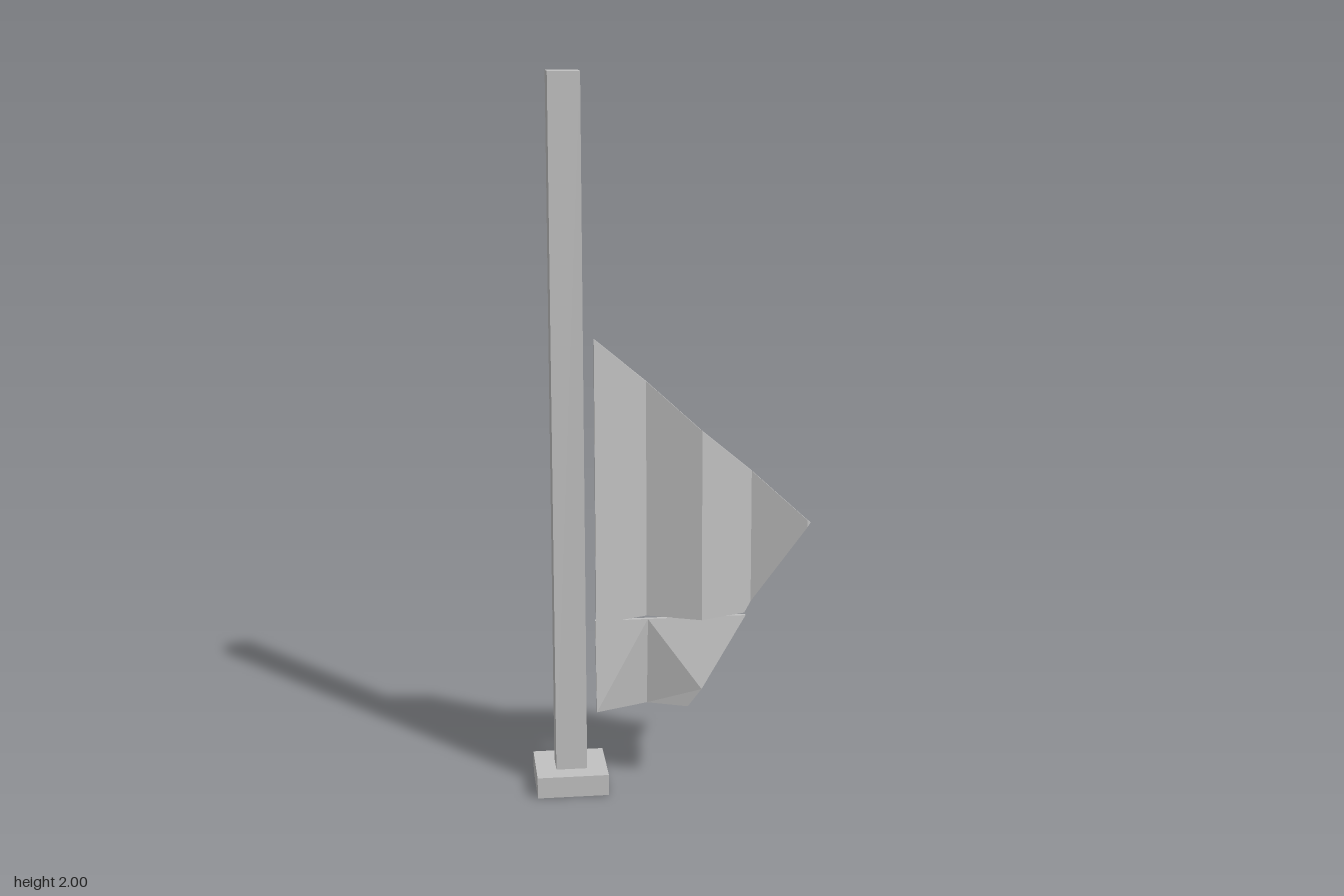
import * as THREE from 'three';

const HALF = 0.006; // half thickness of the sheets along z

// Thickens a folded sheet: points run counter-clockwise in faces seen from the front
function sheet(points, outline, faces) {
  const pos = [];
  const put = (i, s) => pos.push(points[i][0], points[i][1], points[i][2] + s * HALF);
  for (const f of faces) {
    for (let k = 1; k < f.length - 1; k++) {
      [f[0], f[k], f[k + 1]].forEach(i => put(i, 1));
      [f[0], f[k + 1], f[k]].forEach(i => put(i, -1));
    }
  }
  outline.forEach((a, k) => {
    const b = outline[(k + 1) % outline.length];
    put(a, 1); put(a, -1); put(b, -1);
    put(a, 1); put(b, -1); put(b, 1);
  });
  const g = new THREE.BufferGeometry();
  g.setAttribute('position', new THREE.Float32BufferAttribute(pos, 3));
  g.computeVertexNormals();
  return g;
}

export function createModel() {
  const model = new THREE.Group();
  const grey = new THREE.MeshStandardMaterial({ color: 0xc0c0c0 });
  grey.name = 'plain grey';

  const add = (name, geometry, x = 0, y = 0, z = 0) => {
    const m = new THREE.Mesh(geometry, grey);
    m.name = name;
    m.position.set(x, y, z);
    model.add(m);
  };

  // Post and foot
  add('base', new THREE.BoxGeometry(0.2, 0.06, 0.2), -0.284, 0.03, 0);
  add('pole', new THREE.BoxGeometry(0.087, 1.94, 0.087), -0.284, 1.03, 0);

  // Upper cloth: vertical zigzag folds, each column as x, bottom y, z
  const topAt = x => 1.298 - (x + 0.215) * 0.885;
  const columns = [
    [-0.215, 0.5, 0.081], [-0.068, 0.5, 0.02], [0.079, 0.5, 0.081],
    [0.207, 0.5, 0.028], [0.226, 0.53, 0.02], [0.373, 0.757, 0.081],
  ];
  const n = columns.length;
  const upper = [
    ...columns,
    ...columns.map(([x, , z]) => [x, topAt(x), z]),
    [0.382, 0.77, 0.078], // tip
  ];
  const upperFaces = [];
  for (let i = 0; i < n - 1; i++) upperFaces.push([i, i + 1, n + i + 1, n + i]);
  upperFaces.push([n - 1, 2 * n, 2 * n - 1]);
  const bottomEdge = columns.map((c, i) => i);
  const topEdge = columns.map((c, i) => 2 * n - 1 - i);
  add('upperCloth', sheet(upper, [...bottomEdge, 2 * n, ...topEdge], upperFaces));

  // Lower cloth: straight top edge fanning out into folds
  const lower = [
    [-0.215, 0.5, 0.051], [-0.215, 0.243, 0.081], [-0.068, 0.243, 0.02],
    [0.042, 0.243, 0.066], [0.079, 0.298, 0.081], [0.207, 0.5, 0.051],
    [-0.068, 0.5, 0.051],
  ];
  add('lowerCloth', sheet(lower, [0, 1, 2, 3, 4, 5, 6],
    [[6, 0, 1], [6, 1, 2], [6, 2, 4], [2, 3, 4], [6, 4, 5]]));

  return model;
}
